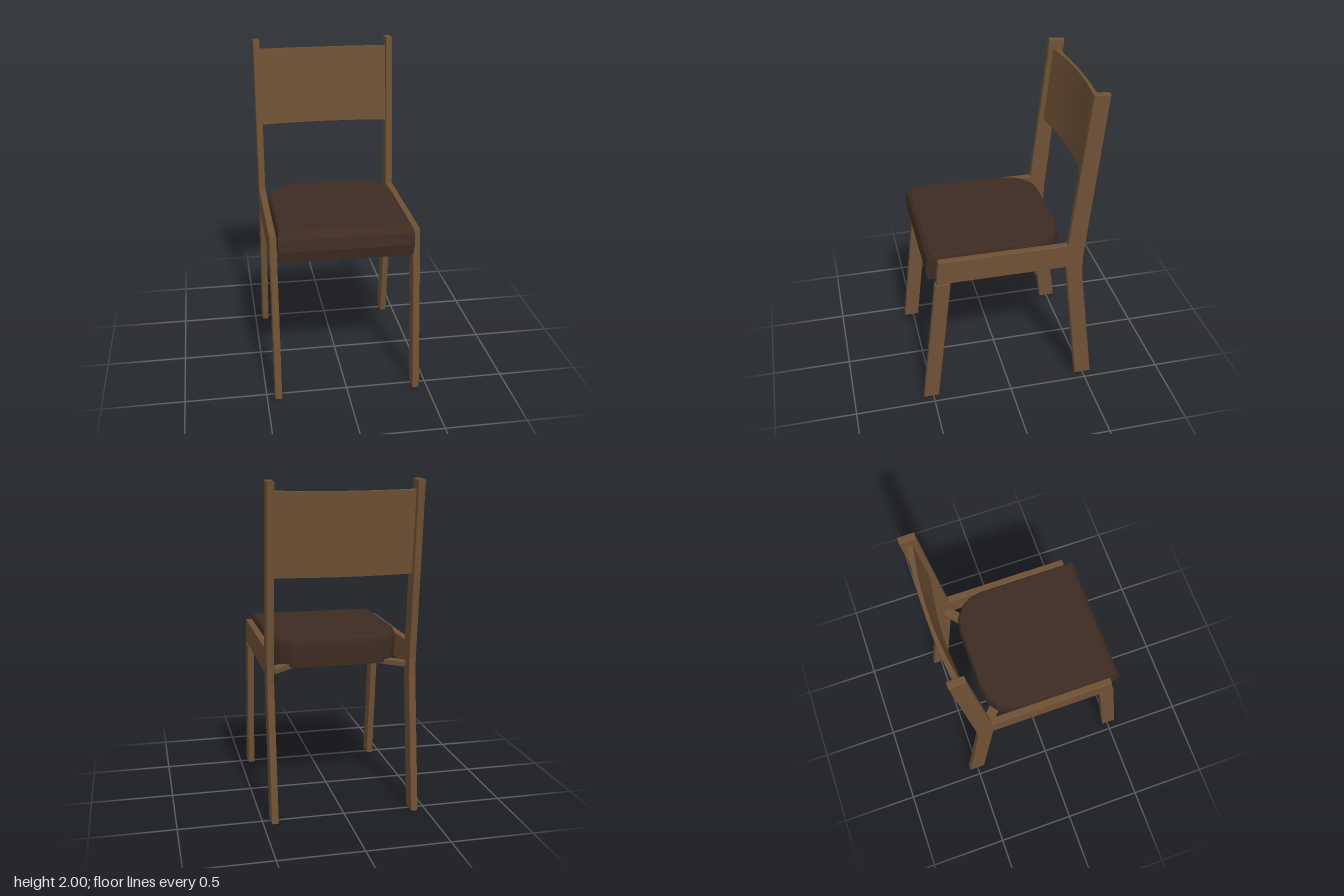
import * as THREE from 'three';

export function createModel() {
  const wood = new THREE.MeshStandardMaterial({ name: 'walnut wood', color: 0x6f5135 });
  const leather = new THREE.MeshStandardMaterial({ name: 'dark brown leather', color: 0x3e2c22 });
  const chair = new THREE.Group();
  chair.name = 'chair';

  const add = (name, geometry, material, parent = chair) => {
    const mesh = new THREE.Mesh(geometry, material);
    mesh.name = name;
    parent.add(mesh);
    return mesh;
  };

  // Plank cut from a [z, y] outline, with thickness along x and softened edges
  const plank = (points) => {
    const bevel = 0.004, thickness = 0.042;
    const shape = new THREE.Shape(points.map(([z, y]) => new THREE.Vector2(-z, y)));
    const geo = new THREE.ExtrudeGeometry(shape, {
      depth: thickness - 2 * bevel, bevelEnabled: true, bevelSegments: 1,
      bevelSize: bevel, bevelThickness: bevel, bevelOffset: -bevel,
    });
    return geo.translate(0, 0, -thickness / 2 + bevel).rotateY(Math.PI / 2);
  };

  // Side frames: bent back post, straight front leg, seat rail
  const backPost = plank([
    [-0.45, 0], [-0.555, 0], [-0.455, 0.82], [-0.455, 0.94],
    [-0.555, 1.995], [-0.458, 2], [-0.355, 1.03], [-0.35, 0.87],
  ]);
  const frontLeg = plank([[0.56, 0], [0.465, 0], [0.365, 0.872], [0.46, 0.872]]);
  const sideRail = plank([[0.452, 0.875], [-0.36, 0.875], [-0.36, 1.032], [0.435, 1.032]]);
  for (const side of [1, -1]) {
    const frame = new THREE.Group();
    frame.name = side > 0 ? 'leftFrame' : 'rightFrame';
    frame.position.x = side * 0.43;
    add('backPost', backPost, wood, frame);
    add('frontLeg', frontLeg, wood, frame);
    add('sideRail', sideRail, wood, frame);
    chair.add(frame);
  }

  // Crossed braces under the seat
  for (const side of [1, -1]) {
    const dx = 0.82, dz = 0.75;
    const brace = add('crossBrace', new THREE.BoxGeometry(Math.hypot(dx, dz), 0.028, 0.062), wood);
    brace.position.set(0, 0.89 - (side > 0 ? 0 : 0.002), -0.01);
    brace.rotation.y = side * Math.atan2(dz, dx);
  }

  // Backrest: bowed panel, thinner in the middle, tilted like the posts
  const steps = 12, halfWidth = 0.41, tilt = 0.104;
  const panel = new THREE.Shape();
  const bow = (t) => 1 - t * t;
  for (let i = 0; i <= steps; i++) {
    const t = -1 + (2 * i) / steps;
    panel[i ? 'lineTo' : 'moveTo'](t * halfWidth, 0.025 * bow(t) + 0.018);
  }
  for (let i = steps; i >= 0; i--) {
    const t = -1 + (2 * i) / steps;
    panel.lineTo(t * halfWidth, 0.041 * bow(t) - 0.018);
  }
  const panelGeo = new THREE.ExtrudeGeometry(panel, { depth: 0.488, bevelEnabled: false });
  panelGeo.translate(0, 0, -0.244).rotateX(-Math.PI / 2);
  const backrest = add('backrest', panelGeo, wood);
  backrest.position.set(0, 1.696, -0.476);
  backrest.rotation.x = -tilt;

  // Seat cushion: stacked outlines with rounded rear corners and a rolled front
  const half = [[0.405, 0.05], [0.405, -0.145], [0.387, -0.225], [0.347, -0.29], [0.28, -0.336], [0.2, -0.352]];
  const layers = [ // height, front z, inset
    [0.888, 0.494, 0.006], [0.96, 0.507, 0], [1.03, 0.493, 0], [1.052, 0.472, 0.005], [1.066, 0.44, 0.014],
  ];
  const rings = layers.map(([y, front, inset]) => {
    const k = 1 - inset / 0.405;
    const right = [[0.405, front / k], ...half].map(([x, z]) => [x * k, y, z * k]);
    return [...right, ...right.map(([x, h, z]) => [-x, h, z]).reverse()];
  });
  const n = rings[0].length, pos = [];
  const tri = (...corners) => corners.forEach((c) => pos.push(...c));
  for (let i = 0; i < n; i++) {
    const j = (i + 1) % n;
    for (let l = 0; l < rings.length - 1; l++) {
      const a = rings[l], b = rings[l + 1];
      tri(a[i], a[j], b[j]);
      tri(a[i], b[j], b[i]);
    }
    const top = rings[rings.length - 1], bottom = rings[0];
    tri(top[i], top[j], [0, layers[layers.length - 1][0], 0]);
    tri(bottom[j], bottom[i], [0, layers[0][0], 0]);
  }
  const seatGeo = new THREE.BufferGeometry();
  seatGeo.setAttribute('position', new THREE.Float32BufferAttribute(pos, 3));
  seatGeo.computeVertexNormals();
  add('seatCushion', seatGeo, leather);

  return chair;
}
